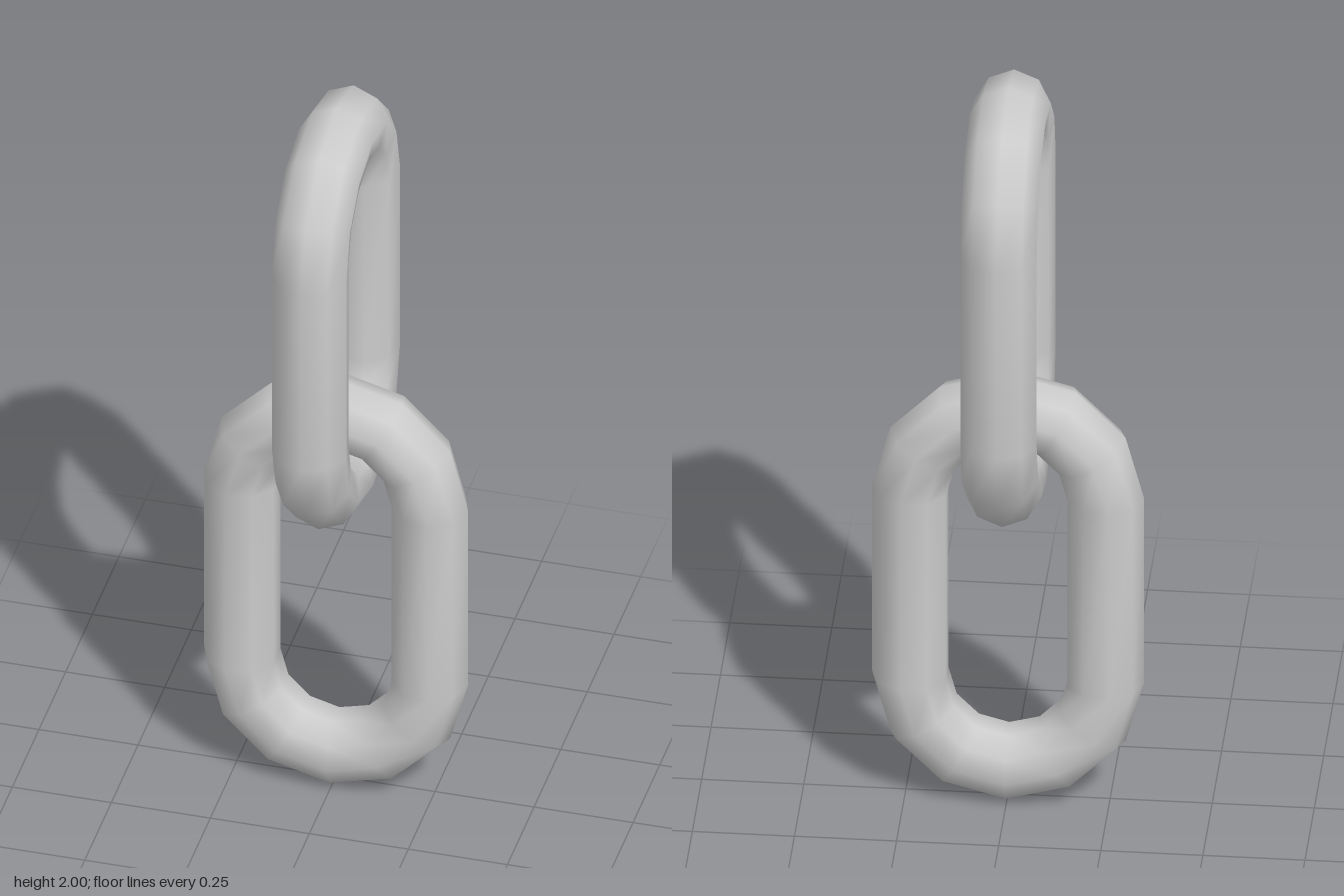
import * as THREE from 'three';

const BEND = 0.238;     // radius of the link's centre line at the ends
const WIRE = 0.095;     // radius of the bar
const STRAIGHT = 0.262; // half length of the straight sides
const SIDES = 9;        // sides of the bar
const ARC = 6;          // segments per half-circle end

// Closed oval link in the xy plane: rings swept round two half circles
function linkGeometry() {
  const positions = [], index = [];
  const rings = 2 * (ARC + 1);
  for (let i = 0; i < rings; i++) {
    const end = i <= ARC ? 0 : 1; // top end, then bottom end
    const u = (i - end) * Math.PI / ARC;
    const offset = end ? -STRAIGHT : STRAIGHT;
    for (let j = 0; j < SIDES; j++) {
      const v = j / SIDES * Math.PI * 2;
      const r = BEND + WIRE * Math.cos(v);
      positions.push(r * Math.cos(u), r * Math.sin(u) + offset, WIRE * Math.sin(v));

      const i2 = (i + 1) % rings, j2 = (j + 1) % SIDES;
      const a = i * SIDES + j, b = i2 * SIDES + j;
      const c = i2 * SIDES + j2, d = i * SIDES + j2;
      index.push(a, b, d, b, c, d);
    }
  }
  const geometry = new THREE.BufferGeometry();
  geometry.setAttribute('position', new THREE.Float32BufferAttribute(positions, 3));
  geometry.setIndex(index);
  geometry.computeVertexNormals();
  return geometry;
}

export function createModel() {
  const group = new THREE.Group();
  group.name = 'chain';
  const geometry = linkGeometry();
  const material = new THREE.MeshStandardMaterial({ color: 0xcccccc });
  const halfHeight = STRAIGHT + BEND + WIRE;

  // Lower link faces the front
  const lower = new THREE.Mesh(geometry, material);
  lower.name = 'lowerLink';
  lower.position.y = halfHeight;

  // Upper link is turned a quarter and hooked through the lower one
  const upper = new THREE.Mesh(geometry, material);
  upper.name = 'upperLink';
  upper.position.y = 2 - halfHeight;
  upper.rotation.y = Math.PI / 2;

  group.add(lower, upper);
  return group;
}
